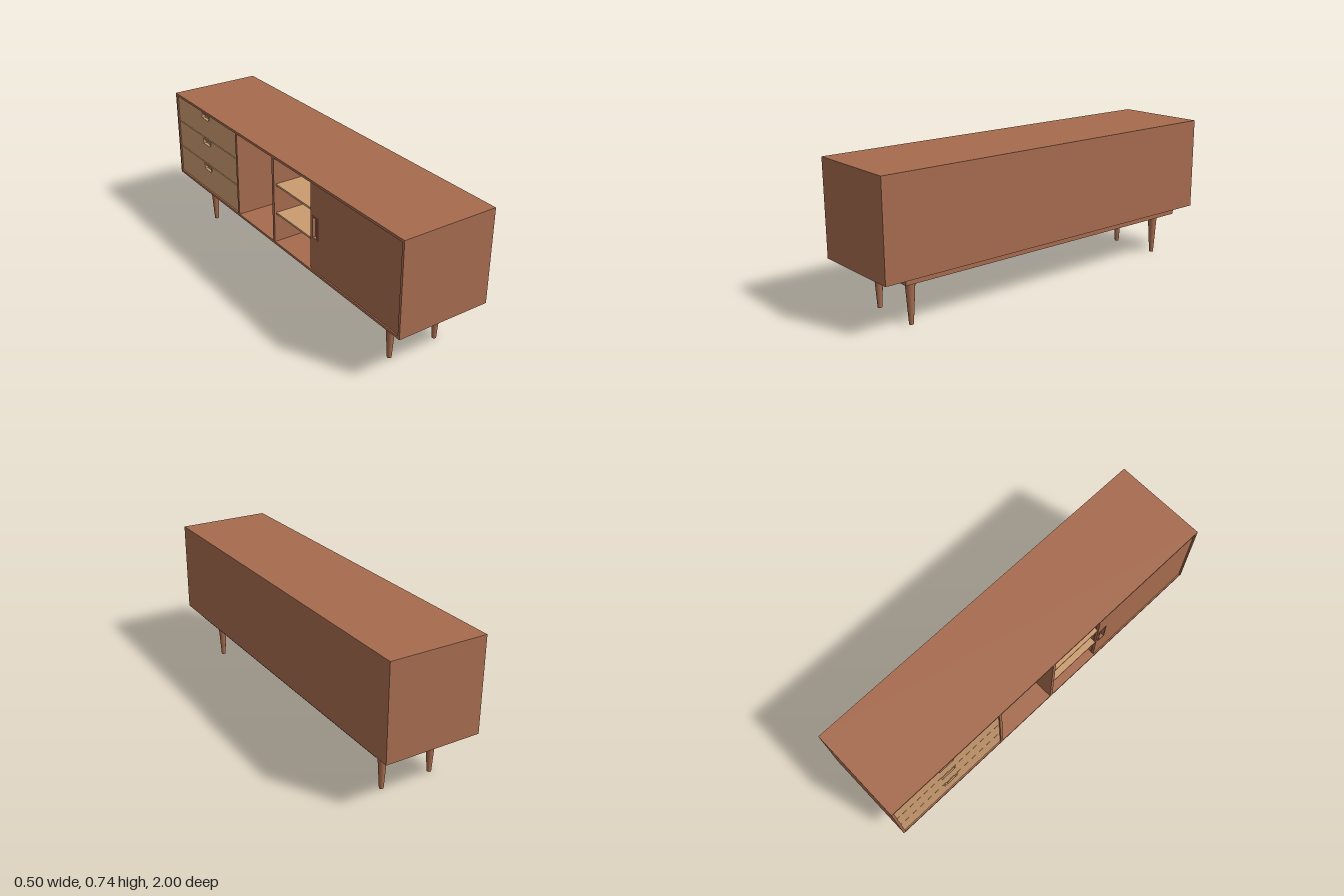
import * as THREE from 'three';

export function createModel() {
  const model = new THREE.Group();
  const walnut = new THREE.MeshStandardMaterial({ color: 0xa66b4e });
  walnut.name = 'walnut';
  const oak = new THREE.MeshStandardMaterial({ color: 0xcb9c70 });
  oak.name = 'light oak';

  const add = (name, geometry, material, parent = model) => {
    const mesh = new THREE.Mesh(geometry, material);
    mesh.name = name;
    parent.add(mesh);
    return mesh;
  };
  // Box given by its limits on each axis
  const box = (name, [x0, x1], [y0, y1], [z0, z1], material, parent) =>
    add(name, new THREE.BoxGeometry(x1 - x0, y1 - y0, z1 - z0), material, parent)
      .position.set((x0 + x1) / 2, (y0 + y1) / 2, (z0 + z1) / 2);

  const X = 0.249, T = 0.013, Y0 = 0.258, Y1 = 0.741;
  const low = Y0 + T, high = Y1 - T;

  // Carcass
  box('top', [-X, X], [high, Y1], [-1, 1], walnut);
  box('floor', [-X, X], [Y0, low], [-1, 1], walnut);
  for (const s of [-1, 1]) {
    const edges = [s, s * (1 - T)].sort((a, b) => a - b);
    box('endPanel', [-X, X], [low, high], edges, walnut);
  }
  box('backPanel', [X - T, X], [low, high], [-1 + T, 1 - T], walnut);
  box('drawerDivider', [-X, X - T], [low, high], [-0.345, -0.33], walnut);
  box('centreDivider', [-X, X - T], [low, high], [0.003, 0.02], walnut);
  box('doorDivider', [-X + 0.025, X - T], [low, high], [0.328, 0.343], walnut);

  // Shelves
  for (const y of [0.432, 0.588])
    box('shelf', [-X + 0.012, X - T], [y - 0.01, y], [0.02, 0.328], oak);

  // Rectangle path in the plane of the cabinet face (z across, y up)
  const rect = (path, z0, z1, y0, y1) => {
    path.moveTo(z0, y0);
    path.lineTo(z1, y0);
    path.lineTo(z1, y1);
    path.lineTo(z0, y1);
    path.closePath();
    return path;
  };
  // Plate with a rectangular hole, its outer face at the given x
  const holedPlate = (name, outer, hole, x, depth, material, parent) => {
    const shape = rect(new THREE.Shape(), ...outer);
    shape.holes.push(rect(new THREE.Path(), ...hole));
    const mesh = add(name, new THREE.ExtrudeGeometry(shape, { depth, bevelEnabled: false }), material, parent);
    mesh.rotation.y = -Math.PI / 2;
    mesh.position.x = x + depth;
  };
  // Front panel with a rimmed, recessed finger pull
  const front = (name, outer, pull, material) => {
    const group = new THREE.Group();
    group.name = name;
    model.add(group);
    const [z0, z1, y0, y1] = pull, r = 0.007, x = -X + 0.007;
    holedPlate('panel', outer, pull, x, 0.014, material, group);
    holedPlate('pullRim', pull, [z0 + r, z1 - r, y0 + r, y1 - r], x - 0.002, 0.016, material, group);
    box('pullBack', [x + 0.014, x + 0.018], [y0 - 0.005, y1 + 0.005], [z0 - 0.005, z1 + 0.005], material, group);
  };

  // Drawers
  const levels = [low, 0.428, 0.58, high];
  for (let i = 0; i < 3; i++) {
    const top = levels[i + 1];
    front('drawer', [-1 + T, -0.345, levels[i] + 0.002, top - 0.002],
      [-0.713, -0.627, top - 0.045, top - 0.006], oak);
  }

  // Sliding door
  front('door', [0.326, 1 - T, low, high], [0.337, 0.385, 0.44, 0.56], walnut);

  // Base board, set slightly below the carcass
  box('baseBoard', [-0.21, 0.22], [0.225, 0.25], [-0.885, 0.88], walnut);

  // Tapered legs with a flared collar
  const profile = [[0, 0], [0.011, 0], [0.025, 0.215], [0.03, 0.215], [0.027, 0.226], [0, 0.226]];
  // Repeated points keep the profile's edges crisp
  const points = profile.flatMap(([r, y], i) => {
    const p = new THREE.Vector2(r, y);
    return i > 0 && i < profile.length - 1 ? [p, p.clone()] : [p];
  });
  // Each straight section is its own lathe, so only the round is smooth
  for (const x of [-0.134, 0.134])
    for (const z of [-0.814, 0.803]) {
      const leg = new THREE.Group();
      leg.name = 'leg';
      leg.position.set(x, 0, z);
      for (let i = 0; i < points.length; i += 2)
        add('legSection', new THREE.LatheGeometry([points[i], points[i + 1]], 24), walnut, leg);
      model.add(leg);
    }

  return model;
}
